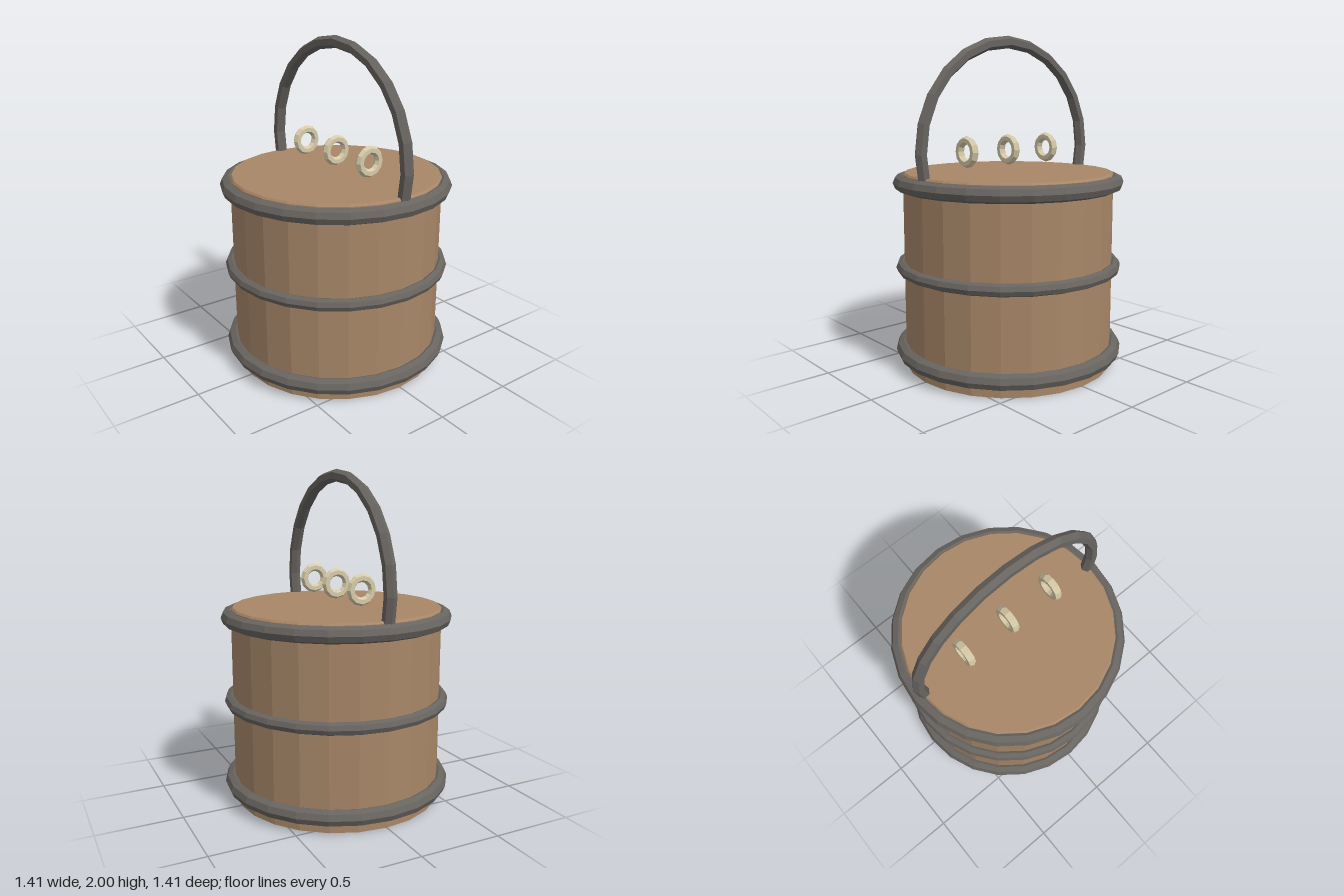
import * as THREE from 'three';

const SIDES = 24;
const flat = (color) => new THREE.MeshStandardMaterial({ color, flatShading: true });

export function createModel() {
  const model = new THREE.Group();
  model.name = 'woodenBucket';
  const wood = flat(0xa88768);
  const iron = flat(0x686460);
  const bone = flat(0xd6caa8);

  const add = (name, geometry, material, x = 0, y = 0, z = 0) => {
    const mesh = new THREE.Mesh(geometry, material);
    mesh.name = name;
    mesh.position.set(x, y, z);
    model.add(mesh);
    return mesh;
  };

  // Tub with a closed lid and a slightly bevelled top edge
  const profile = [[0, 0], [0.642, 0], [0.642, 1.178], [0.632, 1.19], [0, 1.19]];
  add('tub', new THREE.LatheGeometry(profile.map(([r, y]) => new THREE.Vector2(r, y)), SIDES), wood);

  // Three hoops: name, height, tube radius
  for (const [name, y, r] of [['bottomHoop', 0.098, 0.048], ['middleHoop', 0.615, 0.038], ['topHoop', 1.13, 0.048]]) {
    add(name, new THREE.TorusGeometry(0.656, r, 8, SIDES).rotateX(Math.PI / 2), iron, 0, y);
  }

  // Arched handle, its ends sunk into the lid
  const step = Math.PI / 12;
  add('handle', new THREE.TorusGeometry(0.643, 0.037, 6, 14, 14 * step).rotateZ(-step), iron, 0, 1.32);

  // Row of small rings above the lid
  for (const x of [-0.32, 0, 0.32]) {
    add('ring', new THREE.TorusGeometry(0.069, 0.025, 6, 12).rotateY(Math.PI / 2), bone, x, 1.32);
  }

  return model;
}
